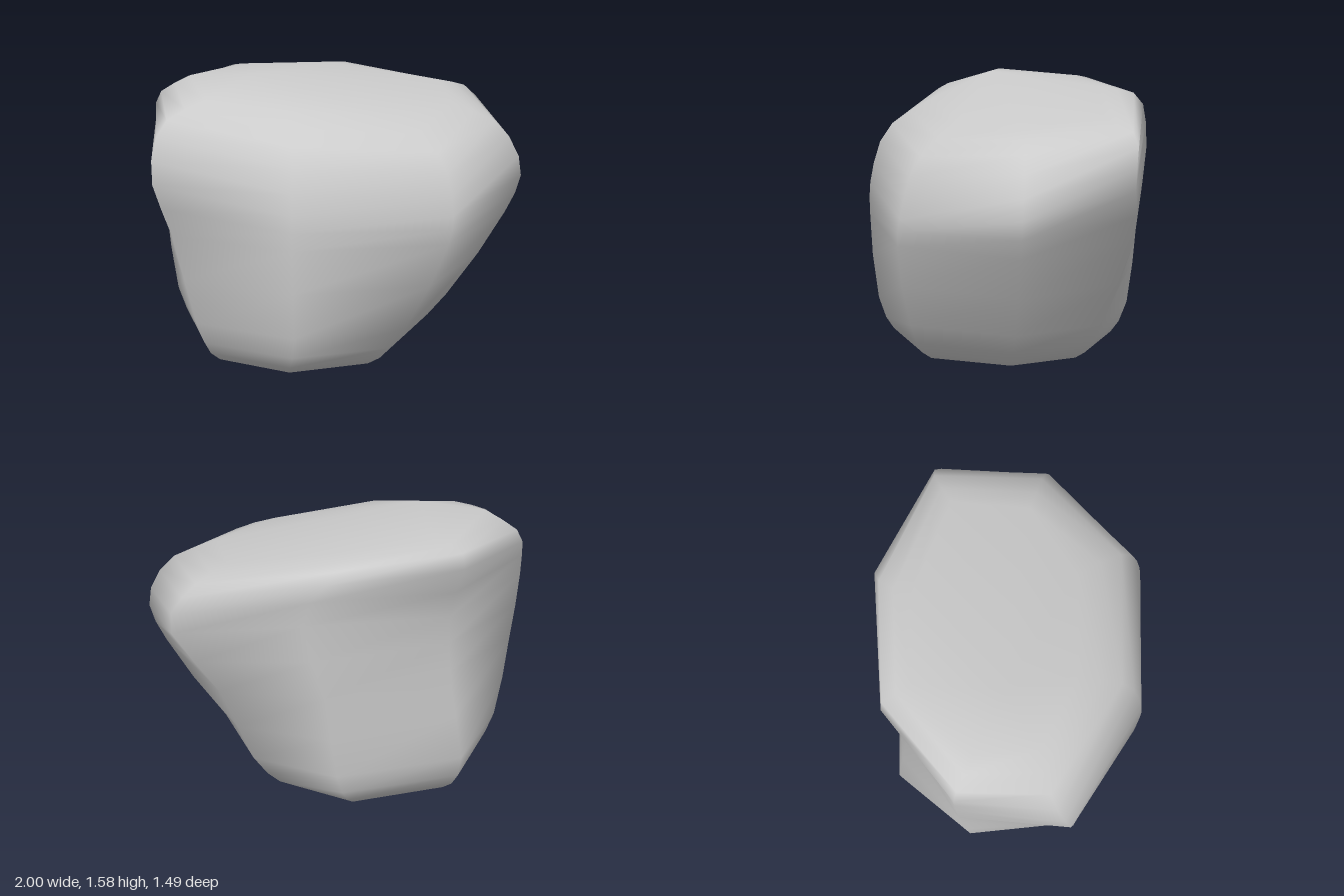
import * as THREE from 'three';

// Eight upright edges, counter-clockwise seen from above:
// foot [x,z], waist [x,z], then rim, shoulder and crown as [x,y,z]
const EDGES = [
  { foot: [0.56, 0], waist: [0.92, 0], upper: [[1, 1.05, 0], [0.88, 1.29, -0.02], [0.62, 1.41, -0.04]] },
  { foot: [0.42, -0.45], waist: [0.61, -0.61], upper: [[0.85, 1.17, -0.57], [0.73, 1.38, -0.59], [0.55, 1.45, -0.45]] },
  { foot: [0, -0.67], waist: [0.08, -0.72], upper: [[0.18, 1.29, -0.745], [0.03, 1.49, -0.72], [-0.05, 1.53, -0.52]] },
  { foot: [-0.66, -0.52], waist: [-0.59, -0.46], upper: [[-0.58, 1.18, -0.46], [-0.63, 1.5, -0.54], [-0.5, 1.54, -0.4]] },
  { foot: [-0.89, -0.05], waist: [-0.965, -0.07], upper: [[-1, 1.25, -0.08], [-0.985, 1.43, -0.08], [-0.8, 1.55, -0.03]] },
  { foot: [-0.71, 0.49], waist: [-0.84, 0.51], upper: [[-0.94, 1.12, 0.49], [-0.89, 1.37, 0.39], [-0.68, 1.48, 0.28]] },
  { foot: [-0.2, 0.69], waist: [-0.2, 0.745], upper: [[-0.2, 1.02, 0.735], [-0.2, 1.29, 0.64], [-0.25, 1.45, 0.39]] },
  { foot: [0.34, 0.52], waist: [0.59, 0.6], upper: [[0.61, 0.98, 0.58], [0.55, 1.23, 0.5], [0.31, 1.4, 0.28]] },
];
const BASE = new THREE.Vector3(-0.2, 0, 0);
const PEAK = new THREE.Vector3(-0.45, 1.575, 0.05);
const ROWS = 14;

// One smooth edge curve, from the rounded underside up to the crown
function edgeCurve({ foot: [x, z], waist, upper }) {
  return new THREE.CatmullRomCurve3([
    new THREE.Vector3(0.5 * x - 0.13, 0.02, 0.53 * z),
    new THREE.Vector3(0.8 * x - 0.07, 0.09, 0.85 * z),
    new THREE.Vector3(x, 0.26, z),
    new THREE.Vector3(waist[0], 0.81, waist[1]),
    ...upper.map((p) => new THREE.Vector3(...p)),
  ]);
}

function boulderGeometry() {
  const points = EDGES.flatMap((edge) => edgeCurve(edge).getPoints(ROWS));
  const stride = ROWS + 1;
  const base = points.push(BASE) - 1;
  const peak = points.push(PEAK) - 1;
  const index = [];
  for (let i = 0; i < EDGES.length; i++) {
    const a = i * stride;
    const b = ((i + 1) % EDGES.length) * stride;
    // Side strip between neighbouring edges
    for (let j = 0; j < ROWS; j++) {
      index.push(a + j, b + j, b + j + 1, a + j, b + j + 1, a + j + 1);
    }
    // Underside and top fans
    index.push(base, b, a, peak, a + ROWS, b + ROWS);
  }
  const geometry = new THREE.BufferGeometry().setFromPoints(points);
  geometry.setIndex(index);
  geometry.computeVertexNormals();
  return geometry;
}

export function createModel() {
  const group = new THREE.Group();
  const boulder = new THREE.Mesh(
    boulderGeometry(),
    new THREE.MeshStandardMaterial({ color: 0xcccccc }),
  );
  boulder.name = 'boulder';
  group.add(boulder);
  return group;
}
